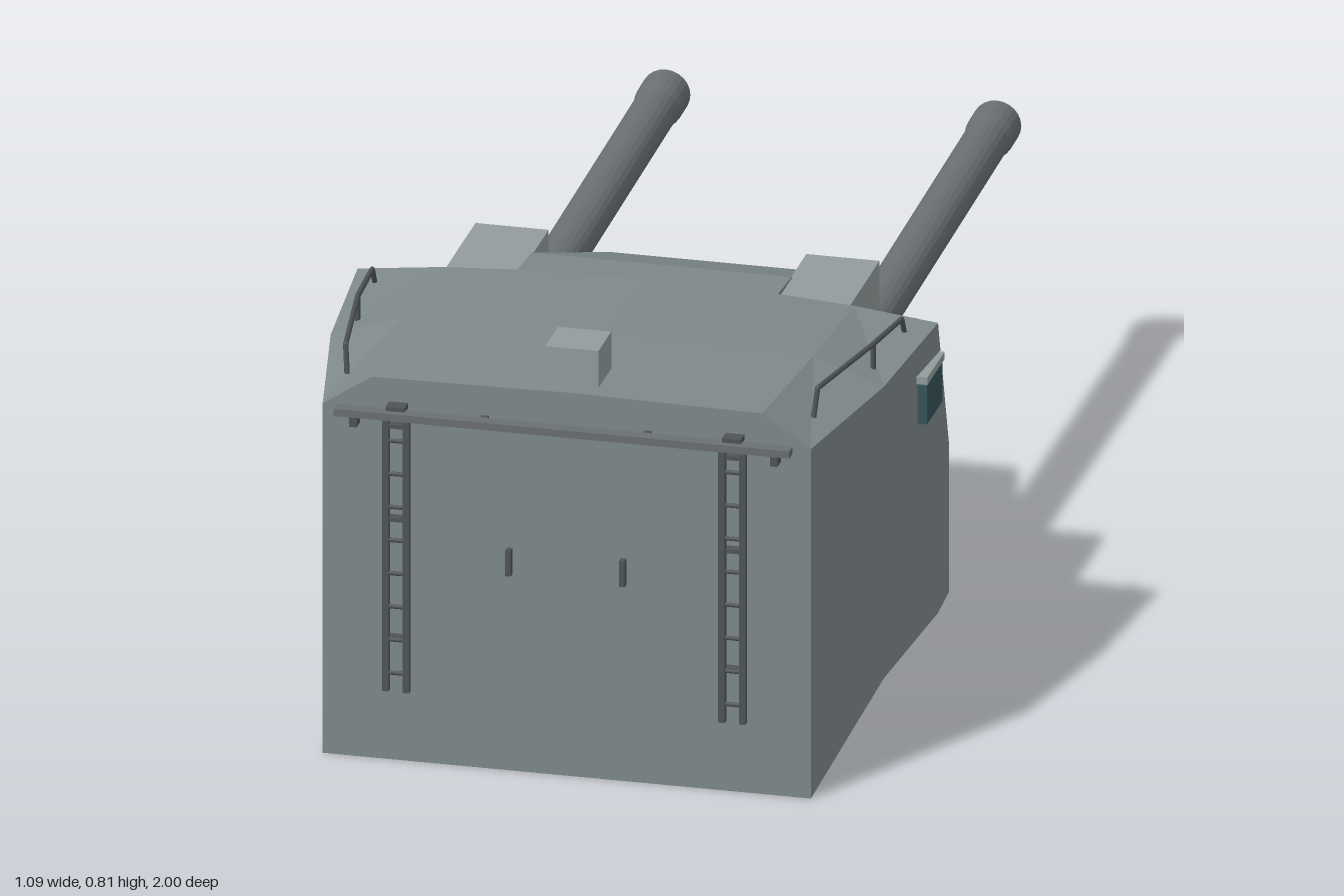
import * as THREE from 'three';

const mat = (color, flatShading = false) => new THREE.MeshStandardMaterial({ color, flatShading });
const hullMat = mat(0x7f898b, true);
const lightMat = mat(0x939b9d);
const gunMat = mat(0x6a6f73);
const darkMat = mat(0x505458);
const glassMat = mat(0x37535a);

function add(parent, name, geometry, material, x = 0, y = 0, z = 0) {
  const mesh = new THREE.Mesh(geometry, material);
  mesh.name = name;
  mesh.position.set(x, y, z);
  parent.add(mesh);
  return mesh;
}
const box = (parent, name, material, w, h, d, x, y, z) =>
  add(parent, name, new THREE.BoxGeometry(w, h, d), material, x, y, z);

// Straight-sided tube through a few points
function rod(parent, name, points, radius, material) {
  const path = new THREE.CurvePath();
  const p = points.map(q => new THREE.Vector3(...q));
  for (let i = 1; i < p.length; i++) {
    const bar = new THREE.TubeGeometry(new THREE.LineCurve3(p[i - 1], p[i]), 1, radius, 6);
    add(parent, name, bar, material);
    if (i < p.length - 1) add(parent, name + 'Joint', new THREE.SphereGeometry(radius, 6, 4), material, ...points[i]);
  }
}

// Faceted armour: corners of the +x half, mirrored to the other side
function hullGeometry() {
  const v = {
    a0: [0.45, 0, 0.96], a1: [0.45, 0.675, 0.96], a2: [0.36, 0.735, 0.96], a3: [0, 0.74, 0.96], h: [0, 0, 0.96],
    b0: [0.51, 0.12, 0.66], b1: [0.51, 0.683, 0.66], b2: [0.38, 0.73, 0.66], b3: [0, 0.738, 0.66],
    c0: [0.535, 0.13, 0.36], c1: [0.535, 0.69, 0.36], c2: [0.38, 0.708, 0.36], c3: [0, 0.722, 0.36], c4: [0.24, 0.717, 0.36],
    d0: [0.53, 0.13, 0.26], d1: [0.53, 0.42, 0.26], d2: [0.24, 0.42, 0.26], d3: [0.24, 0.71, 0.26], d4: [0, 0.71, 0.26],
    e0: [0.34, 0.13, -0.14], e1: [0.34, 0.31, -0.14],
    f0: [0.23, 0.13, -0.29], f1: [0.23, 0.29, -0.29], f2: [0.23, 0.495, -0.29], f4: [0, 0.495, -0.29], g: [0, 0.13, -0.29],
    p: [0, 0.125, 0.16],
  };
  const faces = [
    'a0 b0 b1 a1', 'b0 c0 c1 b1', 'c0 d0 d1 c1', 'd0 e0 e1 d1', 'e0 f0 f1 e1', // side walls
    'a1 b1 b2 a2', 'a2 b2 b3 a3', 'b1 c1 c2 b2', 'b2 c2 c4 c3 b3', 'c4 d3 d4 c3', // roof
    'c1 d1 d2 c4 c2', 'c4 d2 d3', 'd1 e1 f1 d2', 'd2 f1 f2 d3', // gun recess
    'd3 f2 f4 d4', 'f0 g f4 f2', 'a0 a1 a2 a3 h', // glacis, nose, rear
    'a0 h p', 'b0 a0 p', 'c0 b0 p', 'd0 c0 p', 'e0 d0 p', 'f0 e0 p', 'g f0 p', // underside
  ];
  const pos = [];
  for (const face of faces) {
    const c = face.split(' ').map(k => v[k]);
    for (let i = 1; i < c.length - 1; i++) {
      pos.push(...c[0], ...c[i], ...c[i + 1]);
      for (const q of [c[0], c[i + 1], c[i]]) pos.push(-q[0], q[1], q[2]);
    }
  }
  const geo = new THREE.BufferGeometry();
  geo.setAttribute('position', new THREE.Float32BufferAttribute(pos, 3));
  geo.computeVertexNormals();
  return geo;
}

// Barrel with bored muzzle, collar and the housing it leaves
function gun(side) {
  const g = new THREE.Group();
  g.name = 'gun';
  const x = side * 0.305;

  box(g, 'gunHousing', lightMat, 0.135, 0.28, 0.22, x, 0.567, 0.25);
  for (const s of [-1, 1]) box(g, 'portFrameSide', hullMat, 0.014, 0.24, 0.012, x + s * 0.05, 0.56, 0.135);
  box(g, 'portFrameTop', hullMat, 0.114, 0.014, 0.012, x, 0.675, 0.135);
  box(g, 'portPanel', darkMat, 0.086, 0.23, 0.006, x, 0.555, 0.138);

  const barrel = new THREE.Group();
  barrel.name = 'barrelAssembly';
  barrel.position.set(x, 0.496, 0.13);
  barrel.rotation.x = -Math.PI / 2 + 0.017;
  const profile = [[0.04, 0], [0.041, 0.2], [0.041, 1.05], [0.045, 1.075], [0.045, 1.13], [0.017, 1.13], [0.017, 1.0], [0, 1.0]];
  const lathe = new THREE.LatheGeometry(profile.map(q => new THREE.Vector2(...q)), 24);
  add(barrel, 'barrel', lathe, mat(0x6a6f73, true));
  add(barrel, 'collar', new THREE.CylinderGeometry(0.044, 0.05, 0.075, 8), hullMat, 0, 0.045, 0);
  for (const s of [-1, 1]) box(barrel, 'collarLug', lightMat, 0.018, 0.07, 0.05, s * 0.038, 0.04, 0);
  g.add(barrel);
  return g;
}

// Ladder on the rear plate
function ladder(side) {
  const g = new THREE.Group();
  g.name = 'ladder';
  const x = side * 0.31;
  for (const s of [-1, 1]) box(g, 'ladderRail', darkMat, 0.012, 0.53, 0.012, x + s * 0.019, 0.405, 0.978);
  for (let i = 0; i < 8; i++) {
    const rung = add(g, 'rung', new THREE.CylinderGeometry(0.004, 0.004, 0.04, 6), darkMat, x, 0.175 + i * 0.064, 0.978);
    rung.rotation.z = Math.PI / 2;
  }
  for (const y of [0.24, 0.47, 0.65]) box(g, 'standoff', darkMat, 0.044, 0.008, 0.02, x, y, 0.968);
  box(g, 'ladderHook', darkMat, 0.035, 0.01, 0.03, x, 0.686, 0.972);
  return g;
}

export function createModel() {
  const model = new THREE.Group();
  model.name = 'twinGunTurret';

  add(model, 'hull', hullGeometry(), hullMat);
  add(model, 'turntable', new THREE.CylinderGeometry(0.42, 0.42, 0.13, 32), mat(0x7f898b, true), 0, 0.065, 0.34);

  // Roof sight
  box(model, 'sightBox', lightMat, 0.098, 0.072, 0.095, 0, 0.774, 0.875);
  box(model, 'sightWindow', glassMat, 0.06, 0.032, 0.006, 0, 0.78, 0.826);
  rod(model, 'sightRod', [[0, 0.742, 0.84], [0, 0.77, 0.745]], 0.006, darkMat);

  // Rear beam
  box(model, 'rearBeam', gunMat, 0.84, 0.014, 0.025, 0, 0.676, 0.9875);

  for (const s of [-1, 1]) {
    model.add(gun(s), ladder(s));

    // Roof grab rail with posts
    rod(model, 'roofRail', [[s * 0.43, 0.695, 0.86], [s * 0.435, 0.748, 0.85], [s * 0.475, 0.738, 0.6],
      [s * 0.488, 0.725, 0.44], [s * 0.488, 0.69, 0.42]], 0.005, darkMat);
    rod(model, 'railPost', [[s * 0.475, 0.69, 0.6], [s * 0.475, 0.738, 0.6]], 0.005, darkMat);

    // Side vision port with hood
    box(model, 'visionPort', glassMat, 0.02, 0.075, 0.115, s * 0.533, 0.577, 0.417);
    box(model, 'visionHood', lightMat, 0.024, 0.014, 0.128, s * 0.533, 0.625, 0.415);

    // Small fittings
    box(model, 'shoulderPeg', darkMat, 0.008, 0.04, 0.014, s * 0.488, 0.665, 0.343);
    box(model, 'rearHandle', darkMat, 0.01, 0.05, 0.014, s * 0.105, 0.405, 0.967);
    box(model, 'beamBracket', darkMat, 0.014, 0.025, 0.03, s * 0.388, 0.658, 0.972);
    box(model, 'beamBrace', darkMat, 0.014, 0.01, 0.04, s * 0.15, 0.676, 0.968);
  }
  return model;
}
